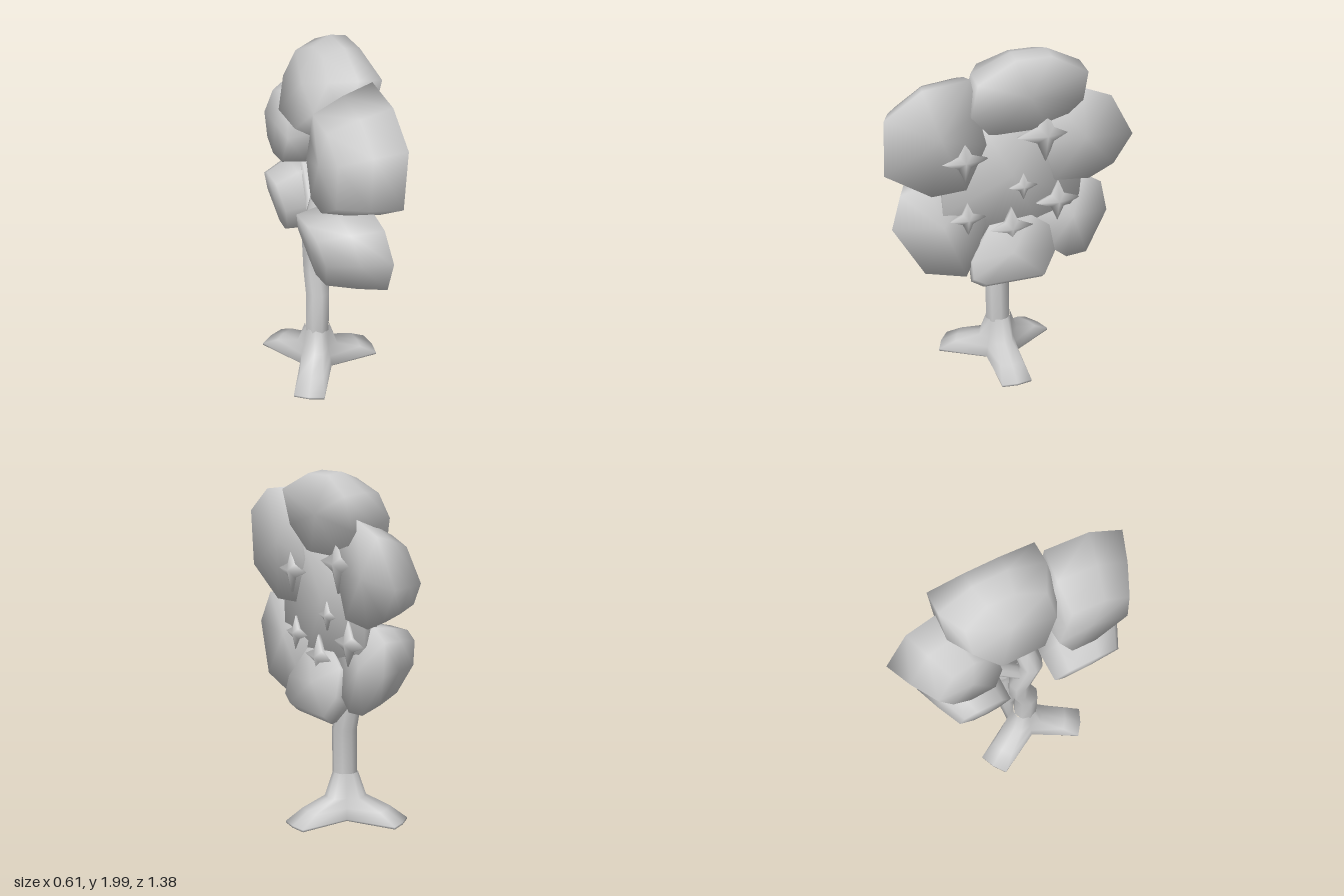
import * as THREE from 'three';
import { toCreasedNormals } from 'three/addons/utils/BufferGeometryUtils.js';

const material = new THREE.MeshStandardMaterial({ color: 0xcccccc });

// Skin a list of rings (equal point counts) smoothly; a ring may collapse to one point
function loft(name, rings) {
  const pos = [];
  const tri = (a, b, c) => {
    if (a.distanceTo(b) < 1e-5 || b.distanceTo(c) < 1e-5 || a.distanceTo(c) < 1e-5) return;
    for (const p of [a, b, c]) pos.push(p.x, p.y, p.z);
  };
  for (let r = 0; r < rings.length - 1; r++) {
    const a = rings[r], b = rings[r + 1], n = a.length;
    for (let i = 0; i < n; i++) {
      const j = (i + 1) % n;
      tri(a[i], a[j], b[j]);
      tri(a[i], b[j], b[i]);
    }
  }
  const geo = new THREE.BufferGeometry();
  geo.setAttribute('position', new THREE.Float32BufferAttribute(pos, 3));
  const mesh = new THREE.Mesh(toCreasedNormals(geo, 2.4), material);
  mesh.name = name;
  return mesh;
}

// Leaf clump: a [z, y, x offset] outline, with front and back planes
// x = x0 + slope * (y - centre); the back is scaled and shifted by [dz, dy]
function lobe(name, outline, [xf, sf], [xb, sb], [midScale, backScale], [dz, dy]) {
  const n = outline.length;
  const cz = outline.reduce((s, p) => s + p[0], 0) / n;
  const cy = outline.reduce((s, p) => s + p[1], 0) / n;
  // [scale of outline, position from front 0 to back 1]
  const sections = [[0, -0.05], [1, 0], [midScale, 0.5], [backScale, 1], [0, 1.03]];
  const rings = sections.map(([s, t]) => outline.map(([z, y, dx = 0]) => {
    const k = Math.min(1, Math.max(0, t));
    const oy = (y - cy) * s + dy * k;
    const x = THREE.MathUtils.lerp(xf + sf * oy + dx * s, xb + sb * oy, t);
    return new THREE.Vector3(x, cy + oy, cz + (z - cz) * s + dz * k);
  }));
  return loft(name, rings);
}

// Round limb through points [x, y, z, radius], listed upward
function limb(name, path, sides = 8) {
  const ring = ([x, y, z, r]) => Array.from({ length: sides }, (_, i) => {
    const a = (i / sides) * Math.PI * 2;
    return new THREE.Vector3(x + r * Math.cos(a), y, z - r * Math.sin(a));
  });
  const last = path[path.length - 1];
  return loft(name, [...path.map(ring), ring([...last.slice(0, 3), 0])]);
}

// Three spreading roots: rings of [y, root radius, hollow radius, root half angle]
function roots() {
  const levels = [[0.05, 0, 0, 0.25], [0, 0.36, 0.1, 0.25], [0.012, 0.36, 0.11, 0.25],
    [0.075, 0.26, 0.1, 0.27], [0.13, 0.12, 0.085, 0.42], [0.27, 0.072, 0.068, 0.5]];
  const rings = levels.map(([y, r, h, w]) => {
    const ring = [];
    for (let k = 0; k < 3; k++) {
      const a = (k * Math.PI * 2) / 3;
      for (const [d, rad] of [[-w, r], [0, r], [w, r], [Math.PI / 3, h]]) {
        ring.push(new THREE.Vector3(-0.05 + rad * Math.cos(a + d), y, 0.015 - rad * Math.sin(a + d)));
      }
    }
    return ring;
  });
  return loft('roots', rings);
}

// Four-pointed blossom with a raised middle
function blossom(z, y, r, x) {
  const ring = (s, dx) => Array.from({ length: 8 }, (_, i) => {
    const a = (i * Math.PI) / 4;
    const q = s * (i % 2 ? 0.42 * r : r);
    return new THREE.Vector3(x + dx, y + q * Math.cos(a), z - q * Math.sin(a));
  });
  return loft('blossom', [ring(0, 0.22 * r), ring(1, 0), ring(1, -0.02), ring(0, -0.04)]);
}

export function createModel() {
  const tree = new THREE.Group();
  tree.name = 'tree';

  // Trunk and branch
  tree.add(roots());
  tree.add(limb('trunk', [[-0.05, 0.25, 0.02, 0.072], [-0.05, 0.52, 0.025, 0.072],
    [-0.05, 0.66, -0.015, 0.07], [-0.06, 0.85, -0.02, 0.065], [-0.06, 1.06, 0.05, 0.065],
    [0, 1.24, 0.02, 0.06], [0.07, 1.4, -0.02, 0.03]]));
  tree.add(limb('branch', [[-0.05, 0.95, 0, 0.045], [-0.02, 1.08, -0.12, 0.045], [0, 1.22, -0.28, 0.03]]));

  // Crown
  const crown = new THREE.Group();
  crown.name = 'crown';
  crown.add(
    lobe('crownMiddle', [[0.38, 1.45], [0.2, 1.7], [-0.2, 1.7], [-0.42, 1.45],
      [-0.4, 1.1], [-0.2, 0.88], [0.18, 0.88], [0.38, 1.1]], [0.125, 0.03], [0.03, 0.03], [1, 0.95], [0, 0]),
    lobe('topLobe', [[0.21, 1.88], [0, 1.975, -0.06], [-0.19, 1.975, -0.06], [-0.38, 1.88],
      [-0.38, 1.7], [-0.22, 1.52], [0.1, 1.52], [0.23, 1.68]], [0.2, 0.3], [-0.1, 0.55], [1, 0.75], [0, 0.03]),
    lobe('upperLeftLobe', [[0.68, 1.72], [0.48, 1.86], [0.23, 1.89], [0.19, 1.7],
      [0.14, 1.5], [0.25, 1.24], [0.44, 1.23], [0.69, 1.4]], [0.15, 0.06], [-0.16, 0.04], [0.9, 0.74], [-0.05, -0.04]),
    lobe('upperRightLobe', [[-0.24, 1.68], [-0.38, 1.76], [-0.55, 1.69], [-0.69, 1.44],
      [-0.59, 1.27], [-0.45, 1.2], [-0.25, 1.22], [-0.18, 1.45]], [0.145, 0.04], [-0.14, 0.1], [0.9, 0.72], [0.08, -0.02]),
    lobe('lowerLeftLobe', [[0.6, 1.24], [0.45, 1.28], [0.22, 1.24], [0.13, 1.05],
      [0.2, 0.85], [0.27, 0.72], [0.5, 0.78], [0.66, 1.06]], [0.12, -0.17], [-0.2, -0.24], [0.9, 0.75], [-0.07, -0.01]),
    lobe('lowerRightLobe', [[-0.15, 1.0], [-0.24, 1.2], [-0.44, 1.2], [-0.54, 1.14],
      [-0.57, 0.97], [-0.44, 0.74], [-0.32, 0.73], [-0.23, 0.8]], [0.12, -0.17], [-0.17, -0.2], [0.9, 0.74], [0.07, 0]),
    lobe('bottomLobe', [[0.12, 1.0], [-0.12, 1.02], [-0.22, 0.95], [-0.24, 0.8],
      [-0.17, 0.68], [0.17, 0.68], [0.24, 0.72], [0.24, 0.82]], [0.18, -0.28], [0, -0.5], [1, 0.74], [0, -0.1]));
  tree.add(crown);

  // Blossoms on the left face: z, y, radius, x
  const blossoms = new THREE.Group();
  blossoms.name = 'blossoms';
  for (const b of [[0.26, 1.42, 0.125, 0.15], [-0.19, 1.51, 0.16, 0.145], [-0.07, 1.21, 0.08, 0.135],
    [0.245, 1.06, 0.1, 0.135], [-0.27, 1.09, 0.125, 0.135], [0, 0.97, 0.125, 0.145]]) blossoms.add(blossom(...b));
  tree.add(blossoms);
  return tree;
}
